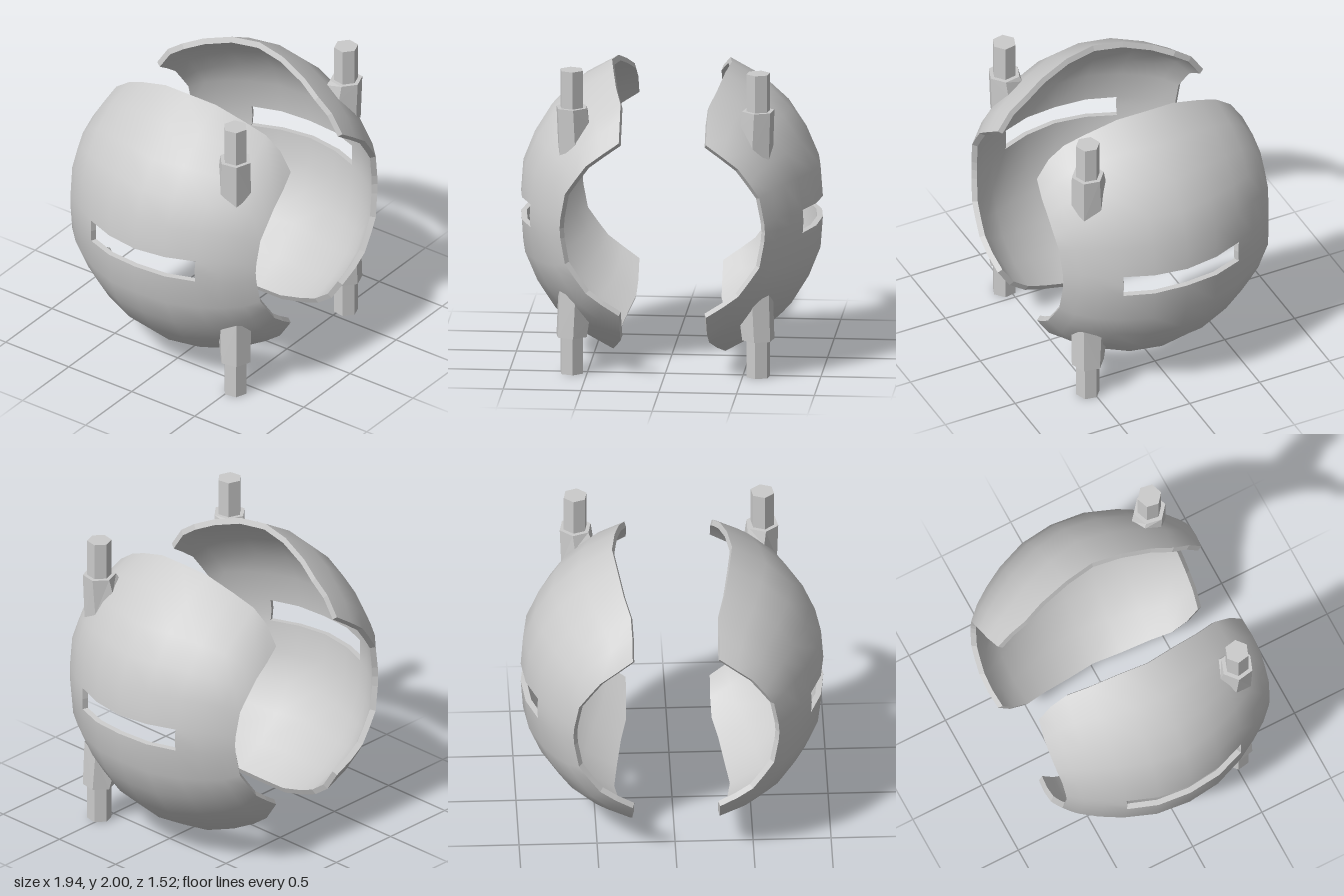
import * as THREE from 'three';

const grey = new THREE.MeshStandardMaterial({ color: 0xcccccc, side: THREE.DoubleSide });
const greyFlat = new THREE.MeshStandardMaterial({ color: 0xcccccc, flatShading: true });
const vecs = (list) => list.map((p) => new THREE.Vector3(...p));

// Border curves of one quarter of a shell, measured from the ball's centre
const equator = vecs([[0.975, 0, 0], [0.95, 0, 0.22], [0.88, 0, 0.41], [0.81, 0, 0.54], [0.735, 0, 0.65], [0.66, 0, 0.735]]);
const topEdge = vecs([[0.385, 0.94, 0], [0.36, 0.92, 0.2], [0.325, 0.85, 0.4], [0.285, 0.78, 0.54], [0.28, 0.7, 0.65], [0.28, 0.57, 0.735]]);
const meridian = vecs([[0.975, 0, 0], [0.97, 0.067, 0], [0.955, 0.27, 0], [0.88, 0.46, 0], [0.77, 0.64, 0], [0.6, 0.81, 0], [0.385, 0.94, 0]]);
const sideEdge = vecs([[0.66, 0, 0.735], [0.655, 0.067, 0.737], [0.625, 0.23, 0.747], [0.56, 0.325, 0.755], [0.49, 0.42, 0.76], [0.39, 0.495, 0.755], [0.28, 0.57, 0.735]]);
const U = [0, 0.28, 0.56, 0.74, 0.88, 1];
const V = [0, 0.07, 0.27, 0.47, 0.66, 0.84, 1];
const NU = U.length - 1, NV = V.length - 1;

// Blend the four border curves into a surface point, kept at the blended radius
function shellPoint(i, j) {
  const a = Math.abs(i), b = Math.abs(j), u = U[a], v = V[b];
  const terms = [
    [equator[a], 1 - v], [topEdge[a], v], [meridian[b], 1 - u], [sideEdge[b], u],
    [equator[0], -(1 - u) * (1 - v)], [equator[NU], -u * (1 - v)],
    [topEdge[0], -(1 - u) * v], [topEdge[NU], -u * v],
  ];
  const p = new THREE.Vector3();
  let radius = 0;
  for (const [q, w] of terms) {
    p.addScaledVector(q, w);
    radius += q.length() * w;
  }
  p.setLength(radius);
  return p.set(p.x, p.y * Math.sign(j), p.z * Math.sign(i));
}

// Curved shell with thickness and a horizontal slot
function shellGeometry() {
  const pos = [], index = [], edges = new Map(), outer = [];
  const cols = 2 * NU + 1, id = (i, j) => (j + NV) * cols + i + NU;
  for (let j = -NV; j <= NV; j++) for (let i = -NU; i <= NU; i++) outer.push(shellPoint(i, j));
  const inner = outer.map((p) => p.clone().multiplyScalar(0.962));
  for (const p of [...outer, ...inner]) pos.push(p.x, p.y, p.z);
  const n = outer.length;
  for (let j = -NV; j < NV; j++) {
    for (let i = -NU; i < NU; i++) {
      if (j >= -1 && j < 1 && i >= -2 && i < 2) continue; // slot
      const q = [id(i, j), id(i, j + 1), id(i + 1, j + 1), id(i + 1, j)];
      index.push(q[0], q[1], q[2], q[0], q[2], q[3]);
      index.push(n + q[0], n + q[2], n + q[1], n + q[0], n + q[3], n + q[2]);
      q.forEach((p, k) => edges.set(`${p}_${q[(k + 1) % 4]}`, [p, q[(k + 1) % 4]]));
    }
  }
  // Rim walls along every open border, with their own corners to stay sharp
  for (const [p, q] of edges.values()) {
    if (edges.has(`${q}_${p}`)) continue;
    const s = pos.length / 3;
    for (const c of [outer[q], outer[p], inner[p], inner[q]]) pos.push(c.x, c.y, c.z);
    index.push(s, s + 1, s + 2, s, s + 2, s + 3);
  }
  const g = new THREE.BufferGeometry();
  g.setAttribute('position', new THREE.Float32BufferAttribute(pos, 3));
  g.setIndex(index);
  g.computeVertexNormals();
  return g;
}

const PIN_X = 0.6, PIN_Z = 0.53;

// Six-sided prism, turned a little about its axis
function hexPrism(radius, y0, y1) {
  const g = new THREE.CylinderGeometry(radius, radius, y1 - y0, 6);
  g.rotateY(THREE.MathUtils.degToRad(-10));
  return g.translate(PIN_X, (y0 + y1) / 2, PIN_Z);
}

// Collar whose flared foot follows the ball
function collarGeometry() {
  const g = hexPrism(0.107, 0.5, 0.755), p = g.attributes.position;
  for (let k = 0; k < p.count; k++) {
    if (p.getY(k) > 0.6) continue;
    const x = PIN_X + (p.getX(k) - PIN_X) * 1.03 - 0.012;
    const z = PIN_Z + (p.getZ(k) - PIN_Z) * 1.08 - 0.012;
    p.setXYZ(k, x, Math.sqrt(Math.max(0.2, 0.968 - x * x - z * z)), z);
  }
  return g;
}

// Mirror a geometry and keep its faces pointing outwards
function mirrored(g, sx, sy) {
  g.scale(sx, sy, 1);
  if (sx * sy < 0) g.index.array.reverse();
  g.computeVertexNormals();
  return g;
}

export function createModel() {
  const model = new THREE.Group();
  model.name = 'splitBall';
  const add = (name, geometry, material) => {
    const m = new THREE.Mesh(geometry, material);
    m.name = name;
    m.position.y = 1;
    model.add(m);
    return m;
  };
  add('leftShell', shellGeometry(), grey);
  add('rightShell', shellGeometry(), grey).rotation.y = Math.PI;
  for (const [side, sx] of [['left', 1], ['right', -1]]) {
    for (const [level, sy] of [['Upper', 1], ['Lower', -1]]) {
      add(`${side}${level}Collar`, mirrored(collarGeometry(), sx, sy), greyFlat);
      add(`${side}${level}Pin`, mirrored(hexPrism(0.079, 0.7, 1), sx, sy), greyFlat);
    }
  }
  return model;
}
